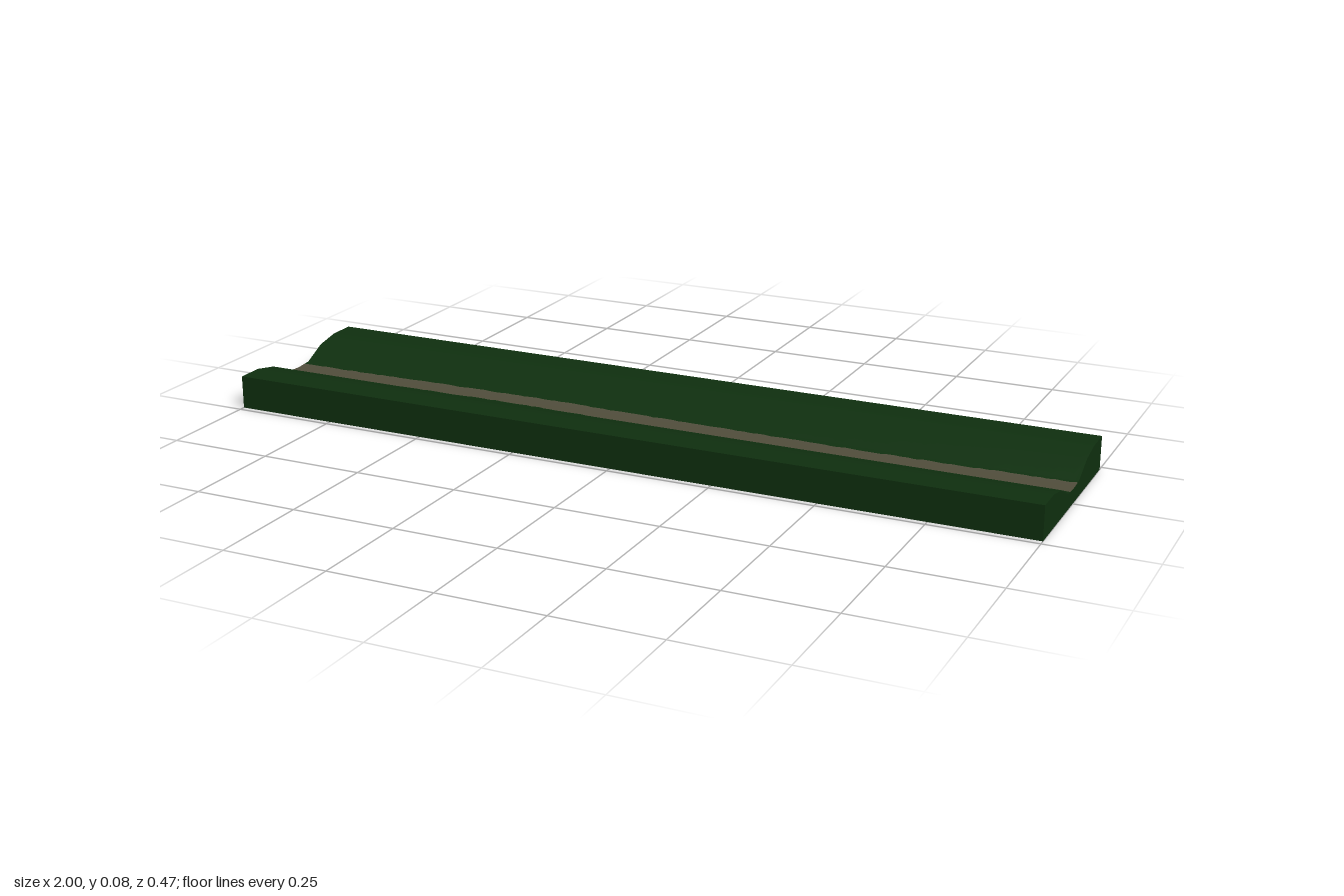
import * as THREE from 'three';

const HALF_X = 1, HALF_Z = 0.235, STEPS = 120;
// Half cross-section of the valley: distance from the middle, height
const PROFILE = [[0, 0.035], [0.045, 0.038], [0.105, 0.068], [0.168, 0.08], [HALF_Z, 0.08]];

function height(z) {
  const d = Math.abs(z);
  for (let i = 1; i < PROFILE.length; i++) {
    const [d0, h0] = PROFILE[i - 1], [d1, h1] = PROFILE[i];
    if (d <= d1) return h0 + (h1 - h0) * (d - d0) / (d1 - d0);
  }
  return 0.08;
}

// Small seeded noise for the ragged path edges
const noise = (n) => {
  const s = Math.sin(n * 12.9898) * 43758.5453;
  return (s - Math.floor(s) - 0.5) * 0.005;
};

// Smooth interpolation through a few edge points [x, z]
function edge(points, seed) {
  const curve = new THREE.SplineCurve(points.map((p) => new THREE.Vector2(p[0], p[1])));
  return (i) => curve.getPoint(i / STEPS).y + noise(i + seed);
}
const backEdge = edge([[-1, -0.029], [-0.67, -0.034], [-0.33, -0.039], [0, -0.032], [0.33, -0.028], [0.67, -0.027], [1, -0.034]], 3);
const frontEdge = edge([[-1, 0.032], [-0.67, 0.023], [-0.33, 0.017], [0, 0.03], [0.33, 0.039], [0.67, 0.034], [1, 0.027]], 400);

// Skin of [z, y] sections running along x
function ribbon(section, steps) {
  const pos = [], index = [];
  let n = 0;
  for (let i = 0; i <= steps; i++) {
    const pts = section(i);
    n = pts.length;
    const x = -HALF_X + (2 * HALF_X * i) / steps;
    for (const [z, y] of pts) pos.push(x, y, z);
  }
  for (let i = 0; i < steps; i++) {
    for (let j = 0; j < n - 1; j++) {
      const a = i * n + j, b = a + 1, c = a + n, d = c + 1;
      index.push(a, b, c, b, d, c);
    }
  }
  const g = new THREE.BufferGeometry();
  g.setAttribute('position', new THREE.Float32BufferAttribute(pos, 3));
  g.setIndex(index);
  g.computeVertexNormals();
  return g;
}

export function createModel() {
  const group = new THREE.Group();
  const grass = new THREE.MeshStandardMaterial({ color: 0x0f2f0f });
  grass.name = 'dark green grass';
  const dirt = new THREE.MeshStandardMaterial({ color: 0x504d3b });
  dirt.name = 'grey brown dirt';

  const add = (name, geometry, material) => {
    const mesh = new THREE.Mesh(geometry, material);
    mesh.name = name;
    group.add(mesh);
    return mesh;
  };
  const onTop = (zs) => zs.map((z) => [z, height(z)]);

  // Ground surface: two banks with the winding path between them
  const bank = PROFILE.slice(1).map((p) => p[0]);
  add('frontBank', ribbon((i) => onTop([frontEdge(i), ...bank]), STEPS), grass);
  add('backBank', ribbon((i) => onTop([...bank.map((d) => -d).reverse(), backEdge(i)]), STEPS), grass);
  add('path', ribbon((i) => onTop([backEdge(i), 0, frontEdge(i)]), STEPS), dirt);

  // Flat walls and underside
  const flat = (name, a, b) => add(name, ribbon(() => [a, b], 1), grass);
  flat('frontWall', [HALF_Z, 0.08], [HALF_Z, 0]);
  flat('underside', [HALF_Z, 0], [-HALF_Z, 0]);
  flat('backWall', [-HALF_Z, 0], [-HALF_Z, 0.08]);

  // End faces cut to the valley profile
  const outline = [[-HALF_Z, 0], [HALF_Z, 0],
    ...[...PROFILE].reverse(), ...PROFILE.slice(1).map(([d, h]) => [-d, h])];
  const shape = new THREE.Shape(outline.map(([d, h]) => new THREE.Vector2(d, h)));
  for (const side of [1, -1]) {
    const end = add(side > 0 ? 'leftEnd' : 'rightEnd', new THREE.ShapeGeometry(shape), grass);
    end.rotation.y = side * Math.PI / 2;
    end.position.x = side * HALF_X;
  }
  return group;
}
